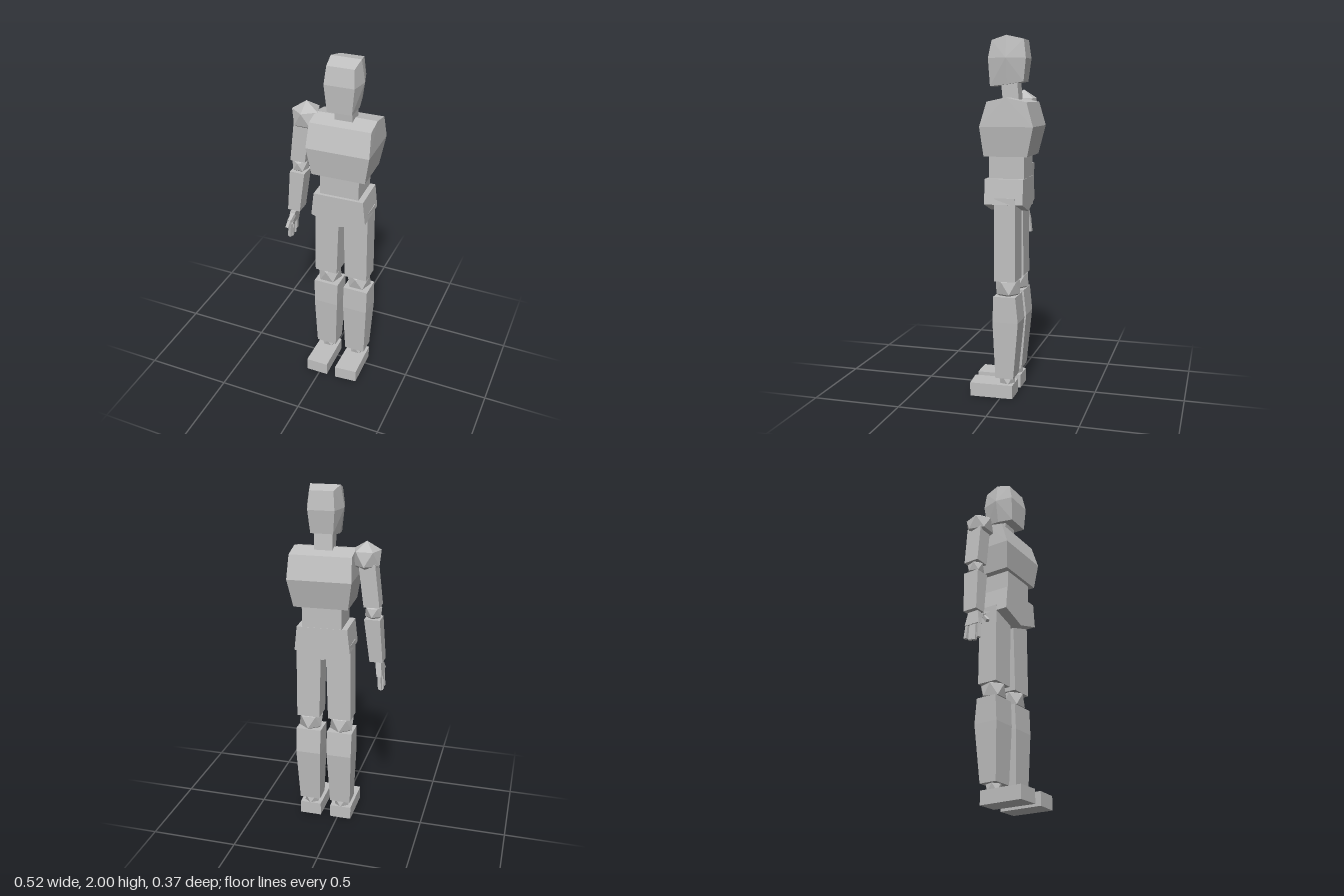
import * as THREE from 'three';
import { ConvexGeometry } from 'three/addons/geometries/ConvexGeometry.js';

const grey = new THREE.MeshStandardMaterial({ color: 0xc0c0c0 });

function add(parent, name, geometry) {
  const mesh = new THREE.Mesh(geometry, grey);
  mesh.name = name;
  parent.add(mesh);
  return mesh;
}

// Faceted solid around a list of corner points
function hull(parent, name, points) {
  return add(parent, name, new ConvexGeometry(points.map((p) => new THREE.Vector3(...p))));
}

// Faceted limb from rectangular sections [y, xMin, xMax, zMin, zMax]
function limb(parent, name, sections) {
  return hull(parent, name, sections.flatMap(([y, x0, x1, z0, z1]) =>
    [[x0, y, z0], [x1, y, z0], [x1, y, z1], [x0, y, z1]]));
}

// Twenty-sided joint standing on one corner
function joint(parent, name, r, x, y, z) {
  const geometry = new THREE.IcosahedronGeometry(r, 0);
  geometry.rotateX(-Math.atan((1 + Math.sqrt(5)) / 2));
  add(parent, name, geometry).position.set(x, y, z);
}

// Square bar between two points
function bar(parent, name, a, b, width, depth) {
  const from = new THREE.Vector3(...a);
  const dir = new THREE.Vector3(...b).sub(from);
  const mesh = add(parent, name, new THREE.BoxGeometry(width, dir.length(), depth));
  mesh.position.copy(from).addScaledVector(dir, 0.5);
  mesh.quaternion.setFromUnitVectors(new THREE.Vector3(0, 1, 0), dir.normalize());
}

function buildTorso() {
  const torso = new THREE.Group();
  torso.name = 'torso';
  torso.position.set(0.075, 0, -0.035);
  torso.rotation.y = 0.034;

  // Head: six-sided rings of [half width, y, z] for front, middle and back
  const head = [
    [0.068, 1.73, 0.115], [0.078, 1.74, 0.02], [0.062, 1.755, -0.07],
    [0.083, 1.88, 0.122], [0.103, 1.88, 0.02], [0.073, 1.88, -0.085],
    [0.075, 1.975, 0.103], [0.083, 2.0, 0.02], [0.065, 1.98, -0.072],
  ];
  hull(torso, 'head', head.flatMap(([w, y, z]) => [[-w, y, z], [w, y, z]]));
  limb(torso, 'neck', [[1.62, -0.05, 0.05, -0.045, 0.045], [1.78, -0.05, 0.05, -0.03, 0.06]]);

  // Chest with a low ridge across the shoulders
  const chest = [
    [0.152, 1.355, 0.13], [0.152, 1.355, -0.11],
    [0.178, 1.515, 0.147], [0.178, 1.515, -0.147],
    [0.172, 1.648, 0.107], [0.172, 1.645, -0.11], [0.172, 1.67, 0.005],
  ];
  hull(torso, 'chest', chest.flatMap(([w, y, z]) => [[-w, y, z], [w, y, z]]));
  limb(torso, 'abdomen', [[1.22, -0.112, 0.112, -0.085, 0.11], [1.37, -0.112, 0.112, -0.085, 0.11]]);

  // Pelvis pointed at the crotch
  const outline = [[-0.143, 1.233], [0.143, 1.233], [0.158, 1.095], [0, 1.045], [-0.158, 1.095]];
  hull(torso, 'pelvis', outline.flatMap(([x, y]) => [[x, y, -0.087], [x, y, 0.127]]));
  return torso;
}

// Leg around a centre x; side is -1 for right and 1 for left
function buildLeg(side) {
  const leg = new THREE.Group();
  leg.name = side < 0 ? 'rightLeg' : 'leftLeg';
  leg.position.x = 0.075 + side * 0.093;
  const s = side * 0.008;
  limb(leg, 'thigh', [
    [1.13, -0.072 - s, 0.072 - s, -0.085, 0.032],
    [0.67, -0.067, 0.067, -0.088, 0.033],
  ]);
  joint(leg, 'knee', 0.078, 0, 0.63, -0.03);
  limb(leg, 'shin', [
    [0.585, -0.074, 0.074, -0.09, 0.035],
    [0.44, -0.073, 0.073, -0.105, 0.04],
    [0.115, -0.061, 0.061, -0.075, 0.028],
  ]);
  joint(leg, 'ankle', 0.05, 0, 0.095, -0.025);
  const toe = side < 0 ? 0.185 : 0.174;
  hull(leg, 'foot', [0, 0.077].flatMap((y) =>
    [[-0.064, y, -0.07], [0.062, y, -0.07], [0.068, y, toe], [-0.064, y, 0.185]]));
  return leg;
}

function buildArm() {
  const arm = new THREE.Group();
  arm.name = 'rightArm';
  joint(arm, 'shoulder', 0.088, -0.157, 1.628, -0.035);
  limb(arm, 'upperArm', [
    [1.6, -0.213, -0.122, -0.083, 0.013],
    [1.36, -0.24, -0.152, -0.08, 0.012],
  ]);
  joint(arm, 'elbow', 0.053, -0.197, 1.325, -0.03);
  limb(arm, 'forearm', [
    [1.29, -0.243, -0.155, -0.078, 0.018],
    [1.04, -0.26, -0.186, -0.065, 0.022],
  ]);

  // Palm, four fingers and a bent thumb
  limb(arm, 'palm', [
    [1.03, -0.246, -0.214, -0.042, 0.022],
    [0.95, -0.256, -0.226, -0.058, 0.038],
  ]);
  for (let i = 0; i < 4; i++) {
    const z = -0.047 + i * 0.025;
    const tip = 0.875 - 0.02 * Math.sin((i / 3) * Math.PI * 0.8);
    bar(arm, 'finger', [-0.241, 0.955, z], [-0.247, tip, z * 1.15], 0.019, 0.019);
  }
  bar(arm, 'thumbBase', [-0.228, 1.01, 0.02], [-0.232, 0.985, 0.06], 0.024, 0.022);
  bar(arm, 'thumbTip', [-0.232, 0.99, 0.055], [-0.237, 0.952, 0.084], 0.02, 0.018);
  return arm;
}

export function createModel() {
  const model = new THREE.Group();
  model.name = 'jointedFigure';
  model.add(buildTorso(), buildLeg(-1), buildLeg(1), buildArm());
  return model;
}
